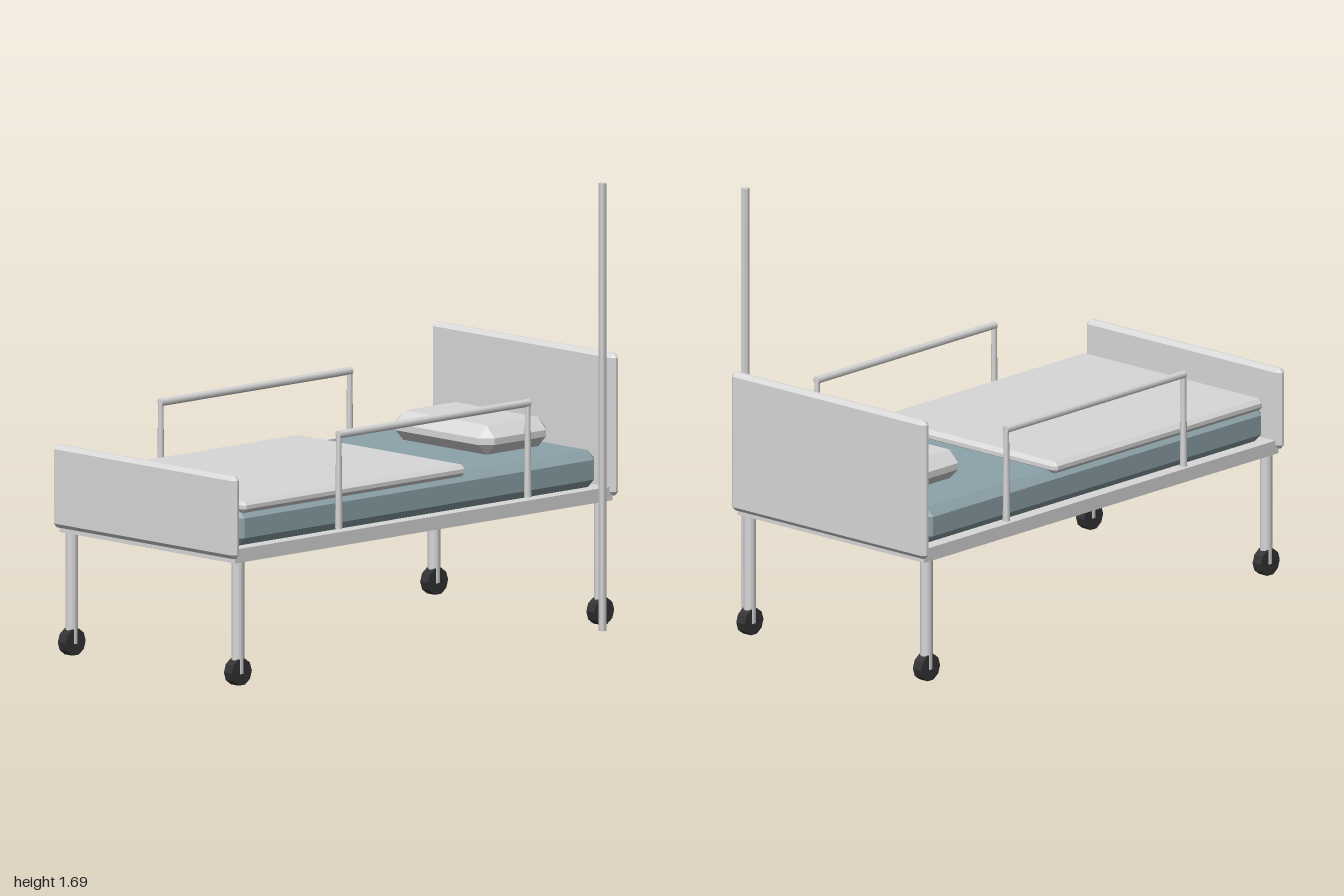
import * as THREE from 'three';
import { ConvexGeometry } from 'three/addons/geometries/ConvexGeometry.js';

const paleGrey = new THREE.MeshStandardMaterial({ color: 0xd8d8d8, name: 'paleGrey' });
const mattressBlue = new THREE.MeshStandardMaterial({ color: 0x8da3aa, name: 'mattressBlue' });
const wheelBlack = new THREE.MeshStandardMaterial({ color: 0x343434, name: 'wheelBlack' });

const BED_X = -0.037; // the bed sits off centre to leave room for the pole

// Box with every edge chamfered by b, given by its min and max corners
function chamferBox(min, max, b) {
  const c = min.map((v, i) => (v + max[i]) / 2);
  const h = min.map((v, i) => (max[i] - v) / 2);
  const points = [];
  for (const sx of [-1, 1]) for (const sy of [-1, 1]) for (const sz of [-1, 1]) {
    for (let full = 0; full < 3; full++) {
      const p = [sx, sy, sz].map((s, i) => c[i] + s * (h[i] - (i === full ? 0 : b)));
      points.push(new THREE.Vector3(...p));
    }
  }
  return new ConvexGeometry(points);
}

export function createModel() {
  const model = new THREE.Group();
  model.name = 'hospitalBed';

  function add(name, geometry, material, x = 0, y = 0, z = 0) {
    const mesh = new THREE.Mesh(geometry, material);
    mesh.name = name;
    mesh.position.set(x, y, z);
    model.add(mesh);
    return mesh;
  }

  // Base and end boards
  add('bedFrame', new THREE.BoxGeometry(0.94, 0.052, 1.95), paleGrey, BED_X, 0.493, 0);
  add('headboard', chamferBox([-0.527, 0.485, -1], [0.453, 1.022, -0.958], 0.016), paleGrey);
  add('footboard', chamferBox([-0.527, 0.485, 0.958], [0.453, 0.798, 1], 0.016), paleGrey);

  // Bedding
  add('mattress', chamferBox([-0.485, 0.517, -0.935], [0.408, 0.658, 0.935], 0.033), mattressBlue);
  add('blanket', chamferBox([-0.494, 0.645, -0.24], [0.417, 0.69, 0.915], 0.015), paleGrey);
  add('pillow', chamferBox([-0.302, 0.655, -0.872], [0.228, 0.768, -0.52], 0.044), paleGrey);

  // Legs with wheels
  const legGeometry = new THREE.CylinderGeometry(0.024, 0.024, 0.43, 10);
  const wheelGeometry = new THREE.CylinderGeometry(0.052, 0.052, 0.042, 10).toNonIndexed();
  wheelGeometry.computeVertexNormals();
  wheelGeometry.rotateZ(Math.PI / 2);
  for (const sx of [-1, 1]) for (const sz of [-1, 1]) {
    const x = BED_X + sx * 0.445;
    add('leg', legGeometry, paleGrey, x, 0.26, sz * 0.935);
    add('wheel', wheelGeometry, wheelBlack, x, 0.052, sz * 0.935);
  }

  // Side rails
  const postGeometry = new THREE.CylinderGeometry(0.010, 0.014, 0.36, 8);
  const barGeometry = new THREE.CylinderGeometry(0.015, 0.015, 0.985, 8);
  barGeometry.rotateX(Math.PI / 2);
  for (const sx of [-1, 1]) {
    const x = BED_X + sx * 0.477;
    add('railBar', barGeometry, paleGrey, x, 0.89, -0.043);
    for (const z of [-0.53, 0.445]) add('railPost', postGeometry, paleGrey, x, 0.715, z);
  }

  // Drip pole
  const pole = add('dripPole', new THREE.CylinderGeometry(0.016, 0.016, 1.69, 5), paleGrey, 0.511, 0.845, -0.848);
  pole.rotation.y = Math.PI;

  return model;
}
